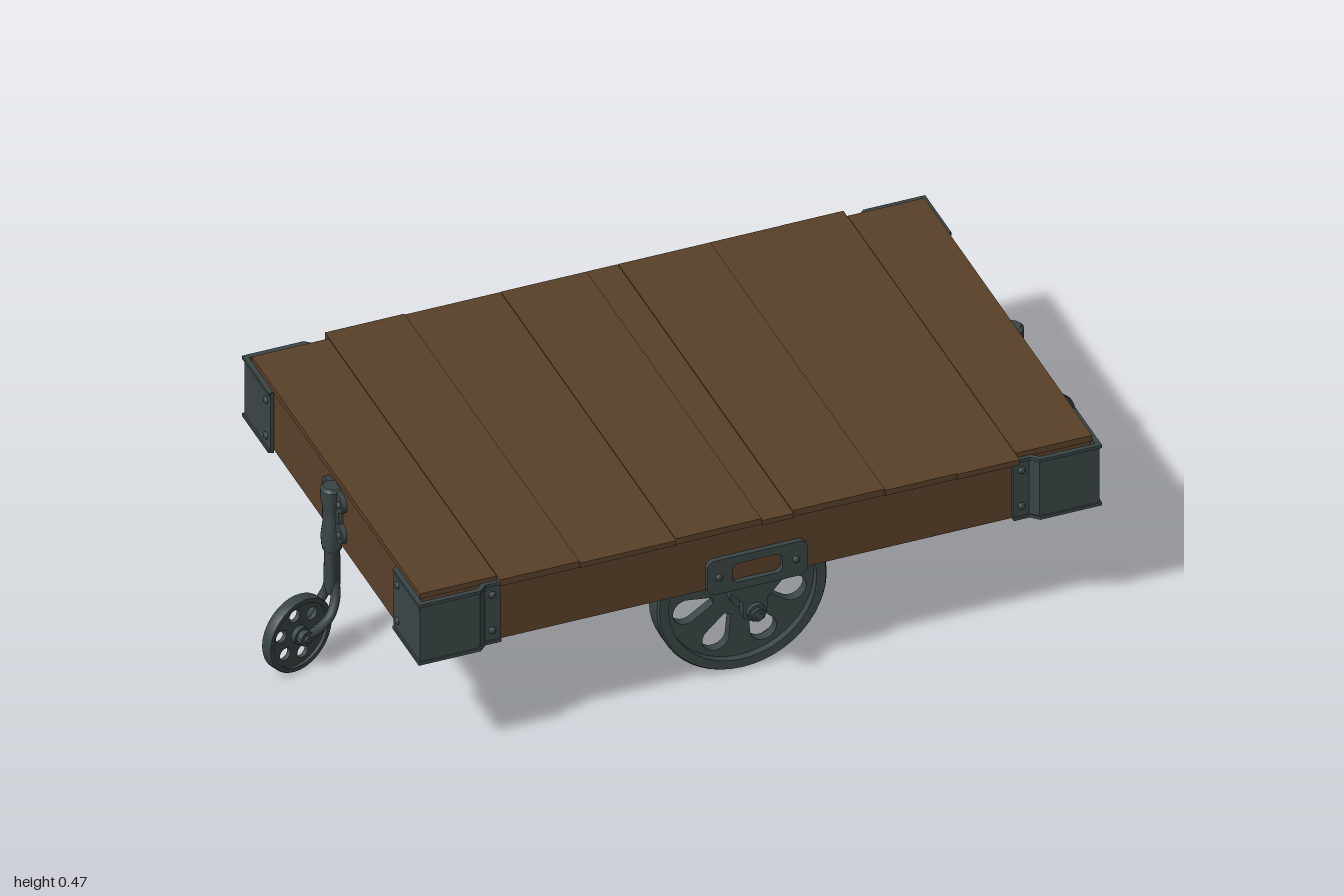
import * as THREE from 'three';
import { toCreasedNormals } from 'three/addons/utils/BufferGeometryUtils.js';

const wood = new THREE.MeshStandardMaterial({ color: 0x5a4129 });
wood.name = 'brown wood';
const iron = new THREE.MeshStandardMaterial({ color: 0x3b4546 });
iron.name = 'dark iron';

function add(parent, name, geometry, material, x = 0, y = 0, z = 0) {
  const mesh = new THREE.Mesh(geometry, material);
  mesh.name = name;
  mesh.position.set(x, y, z);
  parent.add(mesh);
  return mesh;
}

// Box given by its lowest and highest corners
function box(parent, name, mat, [x0, y0, z0], [x1, y1, z1]) {
  return add(parent, name, new THREE.BoxGeometry(x1 - x0, y1 - y0, z1 - z0), mat,
    (x0 + x1) / 2, (y0 + y1) / 2, (z0 + z1) / 2);
}

const extrude = (shape, depth) =>
  new THREE.ExtrudeGeometry(shape, { depth, bevelEnabled: false, curveSegments: 12 });

const rod = (r, length) => new THREE.CylinderGeometry(r, r, length, 20).rotateX(Math.PI / 2);

function lathe(points, segments = 24) {
  const g = new THREE.LatheGeometry(points.map(([r, y]) => new THREE.Vector2(r, y)), segments);
  return toCreasedNormals(g, 0.6);
}

function roundedRect(w, h, r, Type = THREE.Shape) {
  const s = new Type(), x = w / 2 - r, y = h / 2 - r;
  s.absarc(x, y, r, 0, Math.PI / 2);
  s.absarc(-x, y, r, Math.PI / 2, Math.PI);
  s.absarc(-x, -y, r, Math.PI, Math.PI * 1.5);
  s.absarc(x, -y, r, Math.PI * 1.5, Math.PI * 2);
  s.closePath();
  return s;
}

// Rivet head facing along +z, or along +x when side is 'x'
function rivet(parent, x, y, z, side = 'z', r = 0.009) {
  const m = add(parent, 'rivet', new THREE.SphereGeometry(r, 10, 8), iron, x, y, z);
  m.scale[side] = 0.7;
}

// Spoked wheel standing in the xy plane: rim, pierced web and hub
function wheel(name, R, width, holes, hubR, hubWidth) {
  const g = new THREE.Group();
  g.name = name;
  const inner = R * 0.87, w = width / 2;
  add(g, 'rim', lathe([[inner, -w], [R * 0.98, -w], [R, -w * 0.8], [R, w * 0.8],
    [R * 0.98, w], [inner, w], [inner, -w]], 48).rotateX(Math.PI / 2), iron);
  const web = new THREE.Shape().absarc(0, 0, R * 0.9, 0, Math.PI * 2);
  web.holes.push(...holes);
  const t = width * 0.4;
  add(g, 'web', extrude(web, t), iron, 0, 0, -t / 2);
  add(g, 'hub', rod(hubR, hubWidth), iron);
  return g;
}

// Teardrop opening, wide towards the rim
function teardrop(angle) {
  const points = [];
  for (let i = 0; i <= 12; i++) {
    const a = -Math.PI * 0.56 + (i / 12) * Math.PI * 1.12;
    points.push(new THREE.Vector2(0.131 + 0.032 * Math.cos(a), 0.032 * Math.sin(a)));
  }
  points.push(new THREE.Vector2(0.066, 0.009), new THREE.Vector2(0.066, -0.009));
  return new THREE.Path(points.map(p => p.rotateAround(new THREE.Vector2(), angle)));
}

function roundHole(angle) {
  return new THREE.Path().absarc(0.054 * Math.cos(angle), 0.054 * Math.sin(angle), 0.016, 0, Math.PI * 2);
}

// Folded corner plate; grow pushes its outer face out to form the lips
function cornerPlate(sx, sz, y0, y1, grow = 0) {
  const outer = [[0.612, 0.497], [0.65, 0.497], [0.668, 0.514], [0.812, 0.514], [0.812, 0.36]];
  const inner = [[0.804, 0.36], [0.804, 0.506], [0.672, 0.506], [0.654, 0.489], [0.612, 0.489]];
  const points = [...outer.map(([x, z]) => [x + (x > 0.8 ? grow : 0), z + grow]), ...inner];
  const shape = new THREE.Shape(points.map(([x, z]) => new THREE.Vector2(x * sx, -z * sz)));
  return extrude(shape, y1 - y0).rotateX(-Math.PI / 2).translate(0, y0, 0);
}

// Swivelling end wheel: mount, stem, two-pronged fork and wheel
function caster(name, yaw, reach) {
  const g = new THREE.Group();
  g.name = name;
  for (const y of [0.335, 0.417]) {
    add(g, 'mountLobes', extrude(roundedRect(0.118, 0.046, 0.022), 0.012).rotateY(Math.PI / 2), iron, 0.8, y, 0);
    for (const z of [-0.042, 0.042]) rivet(g, 0.813, y, z, 'x');
  }
  box(g, 'mountPlate', iron, [0.8, 0.315, -0.034], [0.811, 0.44, 0.034]);
  add(g, 'pivotSleeve', lathe([[0, 0.285], [0.024, 0.285], [0.026, 0.31], [0.021, 0.35], [0.021, 0.385],
    [0.027, 0.415], [0.027, 0.437], [0.02, 0.444], [0, 0.444]]), iron, 0.812, 0, 0);

  const swivel = new THREE.Group();
  swivel.name = 'swivel';
  swivel.position.x = 0.812;
  swivel.rotation.y = yaw;
  g.add(swivel);
  add(swivel, 'stem', lathe([[0, 0.15], [0.014, 0.155], [0.019, 0.18], [0.018, 0.27], [0.022, 0.276],
    [0.022, 0.286], [0, 0.286]]), iron);
  for (const s of [-1, 1]) {
    const path = new THREE.CatmullRomCurve3([
      new THREE.Vector3(0, 0.2, s * 0.006), new THREE.Vector3(0.004, 0.155, s * 0.016),
      new THREE.Vector3(0.028, 0.117, s * 0.025), new THREE.Vector3(0.065, 0.099, s * 0.027),
      new THREE.Vector3(reach, 0.094, s * 0.027)]);
    add(swivel, 'forkProng', new THREE.TubeGeometry(path, 24, 0.011, 10), iron);
    add(swivel, 'prongEye', rod(0.018, 0.014), iron, reach, 0.094, s * 0.027);
  }
  add(swivel, 'wheelPin', rod(0.009, 0.082), iron, reach, 0.094, 0);
  const holes = Array.from({ length: 6 }, (_, i) => roundHole(i * Math.PI / 3 + 0.3));
  const w = wheel('endWheel', 0.093, 0.028, holes, 0.022, 0.036);
  w.position.set(reach, 0.094, 0);
  swivel.add(w);
  return g;
}

export function createModel() {
  const model = new THREE.Group();
  model.name = 'platformCart';

  // Deck boards, slightly uneven; the end boards fit inside the corner plates
  const edges = [-0.803, -0.62, -0.43, -0.2, 0.005, 0.08, 0.3, 0.47, 0.62, 0.803];
  const tops = [0.468, 0.471, 0.467, 0.47, 0.467, 0.471, 0.469, 0.468, 0.47];
  const ends = [0.492, 0.513, 0.515, 0.512, 0.516, 0.511, 0.514, 0.516, 0.492];
  tops.forEach((top, i) =>
    box(model, 'deckBoard', wood, [edges[i], 0.454, -ends[i]], [edges[i + 1], top, ends[i]]));

  // Rails below the deck
  for (const s of [-1, 1]) {
    add(model, 'sideRail', new THREE.BoxGeometry(1.6, 0.16, 0.04), wood, 0, 0.375, s * 0.469);
    add(model, 'endRail', new THREE.BoxGeometry(0.04, 0.16, 0.9), wood, s * 0.78, 0.375, 0);
  }

  // Iron corners
  for (const sx of [-1, 1]) for (const sz of [-1, 1]) {
    const g = new THREE.Group();
    g.name = 'cornerIron';
    model.add(g);
    add(g, 'cornerPlate', cornerPlate(sx, sz, 0.295, 0.456), iron);
    add(g, 'lowerLip', cornerPlate(sx, sz, 0.294, 0.302, 0.004), iron);
    add(g, 'upperLip', cornerPlate(sx, sz, 0.449, 0.457, 0.004), iron);
    for (const y of [0.328, 0.424]) {
      rivet(g, sx * 0.632, y, sz * 0.498);
      rivet(g, sx * 0.813, y, sz * 0.384, 'x');
    }
  }

  // Centre wheels with their hangers
  const slots = Array.from({ length: 7 }, (_, i) => teardrop(-0.23 + i * Math.PI * 2 / 7));
  for (const s of [-1, 1]) {
    const w = wheel('centreWheel', 0.203, 0.058, slots, 0.032, 0.07);
    w.position.set(0, 0.205, s * 0.385);
    model.add(w);

    const g = new THREE.Group();
    g.name = 'axleHanger';
    if (s < 0) g.rotation.y = Math.PI;
    model.add(g);
    const plate = roundedRect(0.24, 0.092, 0.02);
    plate.holes.push(roundedRect(0.12, 0.05, 0.015, THREE.Path));
    add(g, 'hangerPlate', extrude(plate, 0.012), iron, 0, 0.33, 0.489);
    for (const x of [-0.092, 0.092]) rivet(g, x, 0.33, 0.502);
    box(g, 'hangerFoot', iron, [-0.1, 0.283, 0.448], [0.1, 0.296, 0.494]);
    const leg = new THREE.Shape([[-0.075, 0.286], [-0.03, 0.235], [-0.028, 0.195], [-0.014, 0.182],
      [0.014, 0.182], [0.028, 0.195], [0.03, 0.235], [0.075, 0.286]].map(p => new THREE.Vector2(...p)));
    add(g, 'hangerLeg', extrude(leg, 0.022), iron, 0, 0, 0.466);
    add(g, 'bearing', rod(0.022, 0.04), iron, 0, 0.207, 0.48);
    add(g, 'axleNut', new THREE.CylinderGeometry(0.017, 0.017, 0.012, 6).rotateX(Math.PI / 2), iron, 0, 0.207, 0.503);
  }
  add(model, 'axle', rod(0.009, 1.03), iron, 0, 0.207, 0);

  // End casters
  model.add(caster('leftCaster', 28 * Math.PI / 180, 0.114));
  const right = caster('rightCaster', 20 * Math.PI / 180, 0.105);
  right.rotation.y = Math.PI;
  model.add(right);
  return model;
}
